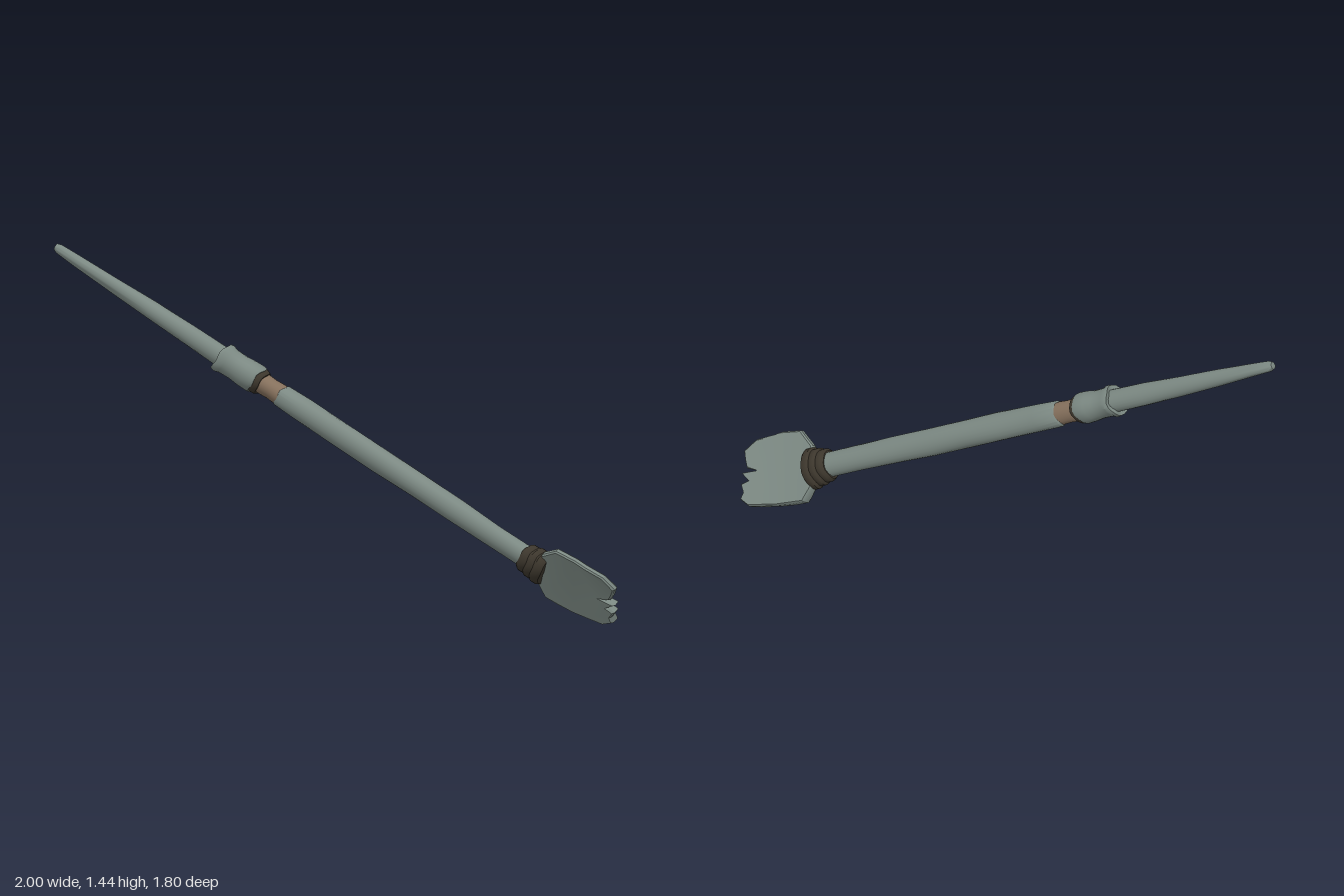
import * as THREE from 'three';
import { toCreasedNormals } from 'three/addons/utils/BufferGeometryUtils.js';

const mat = (name, color) => Object.assign(new THREE.MeshStandardMaterial({ color }), { name });

export function createModel() {
  const grey = mat('weathered grey', 0x7c8983);
  const brown = mat('bare brown wood', 0x86715d);
  const dark = mat('dark binding', 0x3d372d);

  // Local frame: x across the blade, y down the shaft from the tip, z out of the blade face
  const model = new THREE.Group();
  const tool = new THREE.Group();
  tool.name = 'paddle';
  const down = new THREE.Vector3(0.662, -0.466, 0.587).normalize();
  const face = new THREE.Vector3(0.746, 0.485, -0.457);
  const across = new THREE.Vector3().crossVectors(down, face).normalize();
  face.crossVectors(across, down);
  tool.quaternion.setFromRotationMatrix(new THREE.Matrix4().makeBasis(across, down, face));
  tool.position.set(-0.98, 1.44, -0.89);
  model.add(tool);

  const add = (name, geo, material, crease = 0.7) => {
    const mesh = new THREE.Mesh(toCreasedNormals(geo, crease), material);
    mesh.name = name;
    tool.add(mesh);
    return mesh;
  };

  // Hand-carved round part: profile [radius, distance], flattened in z, uneven surface and rims
  const carved = (name, profile, material, { flat = 0.8, lump = 0.03, jag = 0 } = {}) => {
    const geo = new THREE.LatheGeometry(profile.map(([r, y]) => new THREE.Vector2(r, y)), 22);
    const p = geo.attributes.position;
    for (let i = 0; i < p.count; i++) {
      const x = p.getX(i), y = p.getY(i), z = p.getZ(i);
      const a = Math.atan2(z, x), r = Math.hypot(x, z);
      const k = 1 + lump * (Math.sin(3 * a + 9 * y) + 0.7 * Math.sin(2 * a - 15 * y));
      const rim = r > 1e-4 ? jag * (Math.sin(a + 1) + 0.5 * Math.sin(4 * a)) : 0;
      p.setXYZ(i, x * k, y + rim, z * k * flat);
    }
    return add(name, geo, material);
  };

  // Tapering upper shaft
  carved('upperShaft', [
    [0, -0.012], [0.016, -0.008], [0.023, 0.01], [0.028, 0.1], [0.036, 0.3],
    [0.043, 0.5], [0.048, 0.7], [0.05, 0.9], [0.048, 1.02], [0, 1.02],
  ], grey, { flat: 0.86 });

  // Collar with a flared upper lip
  carved('collar', [
    [0.045, 0.872], [0.068, 0.868], [0.071, 0.885], [0.064, 0.905], [0.063, 0.96],
    [0.068, 1.0], [0.07, 1.045], [0.066, 1.06], [0.04, 1.058],
  ], grey, { flat: 0.92, jag: 0.009 });
  carved('collarBinding', [
    [0.03, 1.04], [0.06, 1.045], [0.063, 1.07], [0.056, 1.085], [0.03, 1.085],
  ], dark, { flat: 0.92, jag: 0.005 });

  // Exposed core between the two shaft halves
  carved('exposedCore', [
    [0, 1.02], [0.046, 1.03], [0.05, 1.09], [0.047, 1.13], [0.049, 1.17], [0.045, 1.21], [0, 1.21],
  ], brown, { flat: 0.9 });

  // Lower shaft
  carved('lowerShaft', [
    [0, 1.175], [0.045, 1.172], [0.056, 1.185], [0.059, 1.3], [0.061, 1.5], [0.06, 1.7],
    [0.06, 1.9], [0.057, 2.1], [0.055, 2.3], [0.053, 2.54], [0, 2.54],
  ], grey, { flat: 0.83, jag: 0.008 });

  // Binding where the blade meets the shaft
  for (let i = 0; i < 3; i++) {
    const y = 2.485 + i * 0.035, r = 0.071 + i * 0.01;
    carved('bladeBinding' + (i + 1), [
      [0, y - 0.024], [r * 0.85, y - 0.024], [r, y - 0.01], [r, y + 0.012], [r * 0.88, y + 0.026], [0, y + 0.026],
    ], dark, { flat: 0.82 - i * 0.06, jag: 0.005 });
  }

  // Flat blade with a splintered end
  const outline = [
    [0.095, -0.05], [0.171, 0.01], [0.182, 0.106], [0.176, 0.155], [0.17, 0.244], [0.13, 0.306],
    [0.09, 0.303], [0.053, 0.296], [0.035, 0.249], [0.036, 0.323], [-0.002, 0.292], [-0.012, 0.328],
    [-0.05, 0.318], [-0.078, 0.333], [-0.113, 0.294], [-0.122, 0.23], [-0.132, 0.151],
    [-0.138, 0.08], [-0.14, 0.011], [-0.071, -0.05],
  ].map(([x, y]) => new THREE.Vector2(x, y));
  const blade = new THREE.ExtrudeGeometry(new THREE.Shape(outline), {
    depth: 0.02, bevelEnabled: true, bevelThickness: 0.008, bevelSize: 0.006, bevelOffset: -0.006, bevelSegments: 1,
  });
  blade.translate(0, 0, -0.01);
  const p = blade.attributes.position;
  for (let i = 0; i < p.count; i++) {
    const x = p.getX(i), y = p.getY(i);
    // One side is thicker, and the end bows outward
    p.setZ(i, p.getZ(i) * (1.15 - 2.2 * x) + 0.3 * Math.max(y, 0) ** 2);
  }
  add('blade', blade, grey, 0.5).position.y = 2.6;

  return model;
}
